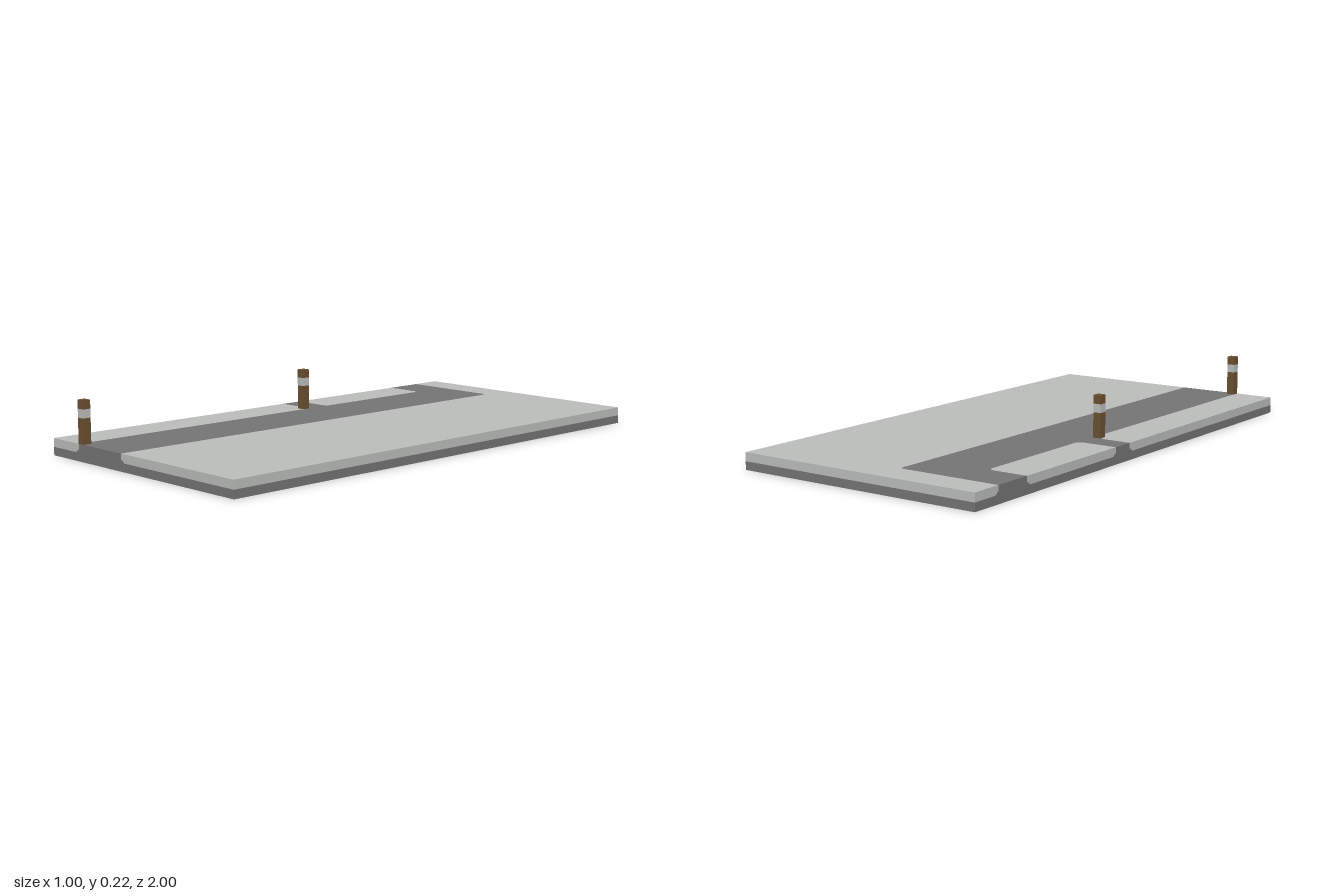
import * as THREE from 'three';

const SOIL_TOP = 0.031, TOP = 0.063, POST_TOP = 0.22;
const PATH_L = -0.343, PATH_R = -0.094;            // road edges in x
const BACK = [-0.878, -0.724], SIDE = [-0.188, -0.098]; // branch edges in z

export function createModel() {
  const group = new THREE.Group();
  const material = (name, color) => {
    const m = new THREE.MeshStandardMaterial({ color });
    m.name = name;
    return m;
  };
  const snow = material('snow', 0xbabdbb);
  const asphalt = material('asphalt', 0x747474);
  const wood = material('wood', 0x6b5030);

  const add = (name, geometry, mat, parent = group) => {
    const mesh = new THREE.Mesh(geometry, mat);
    mesh.name = name;
    parent.add(mesh);
    return mesh;
  };
  const box = (name, mat, x0, x1, y0, y1, z0, z1, parent) =>
    add(name, new THREE.BoxGeometry(x1 - x0, y1 - y0, z1 - z0), mat, parent)
      .position.set((x0 + x1) / 2, (y0 + y1) / 2, (z0 + z1) / 2);

  // Flat piece of the surface layer, outlined in x and z
  const slab = (name, mat, outline) => {
    const shape = new THREE.Shape(outline.map(([x, z]) => new THREE.Vector2(x, z)));
    const geometry = new THREE.ExtrudeGeometry(shape, { depth: TOP - SOIL_TOP, bevelEnabled: false });
    geometry.rotateX(Math.PI / 2);
    add(name, geometry, mat).position.y = TOP;
  };

  // Clipped corners shared by the road and the snow beside it
  const outerCorner = [[PATH_R, BACK[0] + 0.01], [PATH_R - 0.01, BACK[0]]];
  const backCorner = [[PATH_L - 0.015, BACK[1]], [PATH_L - 0.008, BACK[1] + 0.006], [PATH_L, BACK[1] + 0.015]];
  const sideCorner = [[PATH_L, SIDE[0] - 0.015], [PATH_L - 0.008, SIDE[0] - 0.006], [PATH_L - 0.022, SIDE[0]]];
  const frontCorner = [[-0.385, SIDE[1]], [-0.37, SIDE[1] + 0.008], [PATH_L, SIDE[1] + 0.026]];

  // Base and road
  box('base', asphalt, -0.5, 0.5, 0, SOIL_TOP, -1, 1);
  slab('road', asphalt, [
    [PATH_R, 1], ...outerCorner, [-0.5, BACK[0]], [-0.5, BACK[1]], ...backCorner,
    ...sideCorner, [-0.5, SIDE[0]], [-0.5, SIDE[1]], ...frontCorner, [PATH_L, 1],
  ]);

  // Snow on either side of the road
  slab('mainSnow', snow, [
    [PATH_R, 1], ...outerCorner, [-0.5, BACK[0]], [-0.5, -1], [0.5, -1], [0.5, 1],
  ]);
  slab('islandSnow', snow, [[-0.5, BACK[1]], ...backCorner, ...sideCorner, [-0.5, SIDE[0]]]);
  slab('frontSnow', snow, [[-0.5, SIDE[1]], ...frontCorner, [PATH_L, 1], [-0.5, 1]]);

  // Stepped flares where the road meets the outer edges
  const t = 0.001;
  for (const [width, height] of [[0.008, 0.01], [0.015, 0.004]]) {
    const y1 = SOIL_TOP + height;
    for (const [edge, dir] of [[PATH_L, -1], [PATH_R, 1]]) {
      const end = edge + dir * width;
      box('frontFlare', asphalt, Math.min(edge, end), Math.max(edge, end), SOIL_TOP, y1, 1 - t, 1 + t);
    }
    for (const [z0, z1] of [BACK, SIDE]) {
      box('sideFlare', asphalt, -0.5 - t, -0.5 + t, SOIL_TOP, y1, z0 - width, z0);
      box('sideFlare', asphalt, -0.5 - t, -0.5 + t, SOIL_TOP, y1, z1, z1 + width);
    }
  }

  // Marker posts with a pale band
  for (const [x, z] of [[-0.329, 0.984], [-0.36, -0.08]]) {
    const post = new THREE.Group();
    post.name = 'markerPost';
    post.position.set(x, 0, z);
    group.add(post);
    const h = 0.0157;
    box('postLower', wood, -h, h, TOP, 0.156, -h, h, post);
    box('postBand', snow, -h, h, 0.156, 0.188, -h, h, post);
    box('postCap', wood, -h, h, 0.188, POST_TOP, -h, h, post);
  }
  return group;
}
